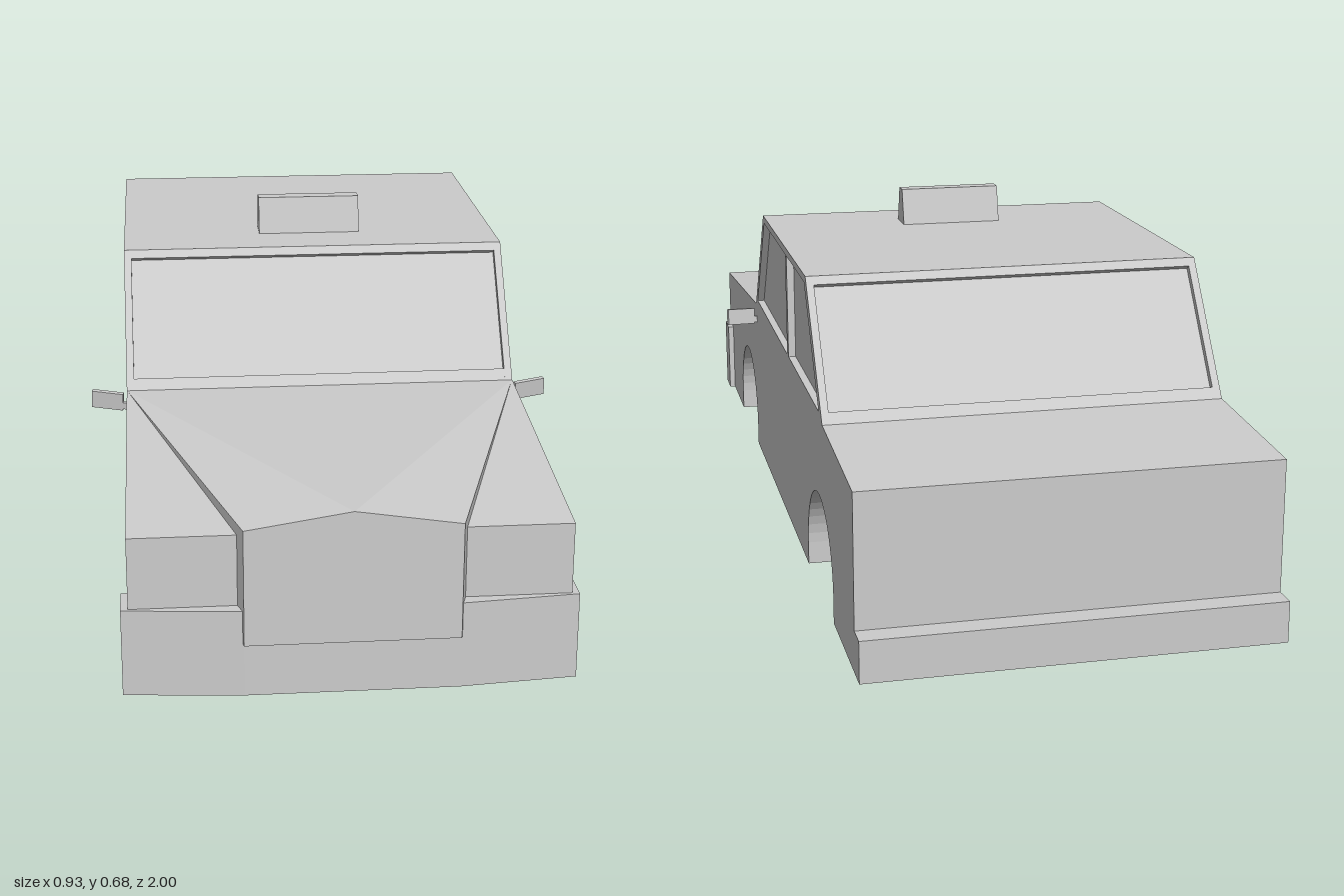
import * as THREE from 'three';

const mat = new THREE.MeshStandardMaterial({ color: 0xcccccc, flatShading: true });

function add(parent, geometry, name) {
  const mesh = new THREE.Mesh(geometry, mat);
  mesh.name = name;
  parent.add(mesh);
  return mesh;
}

const polygon = (pts, Type = THREE.Shape) => new Type(pts.map(p => new THREE.Vector2(...p)));

// Side profile, drawn as (z, y), extruded across the car from x0 to x1
function slab(shape, x0, x1) {
  const g = new THREE.ExtrudeGeometry(shape, { depth: x1 - x0, bevelEnabled: false, curveSegments: 12 });
  return g.rotateY(-Math.PI / 2).translate(x1, 0, 0);
}

// Body outline; optional wheel arches and sunken front and rear glass
function bodyShape(arches, sunkenGlass) {
  const s = new THREE.Shape();
  s.moveTo(-0.955, 0);
  if (arches) {
    for (const c of [-0.575, 0.55]) {
      s.lineTo(c - 0.155, 0);
      s.lineTo(c - 0.155, 0.045);
      s.absarc(c, 0.045, 0.155, Math.PI, 0, true);
      s.lineTo(c + 0.155, 0);
    }
  }
  const front = [[0.355, 0.375], [0.345, 0.368], [0.191, 0.578], [0.201, 0.585]];
  const rear = [[-0.461, 0.585], [-0.451, 0.578], [-0.605, 0.368], [-0.615, 0.375]];
  const top = [
    [0.97, 0], [0.97, 0.3], [0.37, 0.355], ...(sunkenGlass ? front : []),
    [0.19, 0.6], [-0.45, 0.6], ...(sunkenGlass ? rear : []),
    [-0.63, 0.355], [-0.955, 0.335],
  ];
  top.forEach(p => s.lineTo(...p));
  s.closePath();
  return s;
}

// Hood and grille: peaked nose section widening back to the windshield base
function hoodGeometry() {
  const nose = [[0.193, 0.1], [0.193, 0.32], [0, 0.35], [-0.193, 0.32], [-0.193, 0.1]];
  const base = [[0.394, 0.3], [0.394, 0.355], [0, 0.355], [-0.394, 0.355], [-0.394, 0.3]];
  const n = nose.length;
  const pos = [...nose.map(p => [...p, 1]), ...base.map(p => [...p, 0.37])].flat();
  const idx = [];
  for (let i = 0; i < n; i++) {
    const j = (i + 1) % n;
    if (i < 2) idx.push(i, n + i, j, n + i, n + j, j);
    else idx.push(i, n + i, n + j, i, n + j, j);
  }
  for (let i = 1; i < n - 1; i++) idx.push(0, i, i + 1, n, n + i + 1, n + i);
  const g = new THREE.BufferGeometry();
  g.setAttribute('position', new THREE.Float32BufferAttribute(pos, 3));
  g.setIndex(idx);
  const flat = g.toNonIndexed();
  flat.computeVertexNormals();
  return flat;
}

export function createModel() {
  const car = new THREE.Group();
  car.name = 'car';
  const body = new THREE.Group();
  body.name = 'body';
  body.position.x = -0.002;
  car.add(body);

  // Body centre between the wheel wells
  add(body, slab(bodyShape(false, true), -0.275, 0.275), 'bodyCore');

  // Outer skin with side window openings
  const skin = bodyShape(true, false);
  skin.holes.push(
    polygon([[0.335, 0.37], [0.177, 0.585], [-0.165, 0.585], [-0.165, 0.37]], THREE.Path),
    polygon([[-0.185, 0.37], [-0.185, 0.585], [-0.43, 0.585], [-0.588, 0.37]], THREE.Path),
  );
  const inner = bodyShape(true, true);
  for (const [side, name] of [[1, 'left'], [-1, 'right']]) {
    const span = (a, b) => (side > 0 ? [a, b] : [-b, -a]);
    add(body, slab(inner, ...span(0.275, 0.38)), name + 'WheelWells');
    add(body, slab(skin, ...span(0.38, 0.395)), name + 'SidePanel');

    // Door mirror, swept back, on a short stalk
    const mirror = new THREE.Group();
    mirror.name = name + 'Mirror';
    mirror.position.set(side * 0.434, 0.33, 0.351);
    mirror.rotation.set(0.1, side * 0.26, side * 0.03);
    body.add(mirror);
    add(mirror, new THREE.BoxGeometry(0.065, 0.036, 0.01), 'mirrorHousing');
    add(mirror, new THREE.BoxGeometry(0.02, 0.014, 0.008).translate(-side * 0.035, -0.008, 0), 'mirrorStalk');
  }

  add(body, hoodGeometry(), 'hoodAndGrille');

  // Front bumper wrapping around the corners, drawn in plan as (x, -z)
  const plan = polygon([
    [-0.408, -0.905], [-0.408, -0.975], [-0.193, -0.994],
    [0.193, -0.994], [0.408, -0.975], [0.408, -0.905],
  ]);
  add(body, new THREE.ExtrudeGeometry(plan, { depth: 0.165, bevelEnabled: false })
    .rotateX(-Math.PI / 2), 'frontBumper');

  // Rear bumper
  add(body, new THREE.BoxGeometry(0.79, 0.08, 0.05).translate(0, 0.04, -0.975), 'rearBumper');

  // Tapered roof sign
  const sign = polygon([[0.015, 0.598], [0.082, 0.598], [0.064, 0.675], [0.034, 0.675]]);
  add(body, slab(sign, -0.107, 0.107), 'roofSign');

  return car;
}
